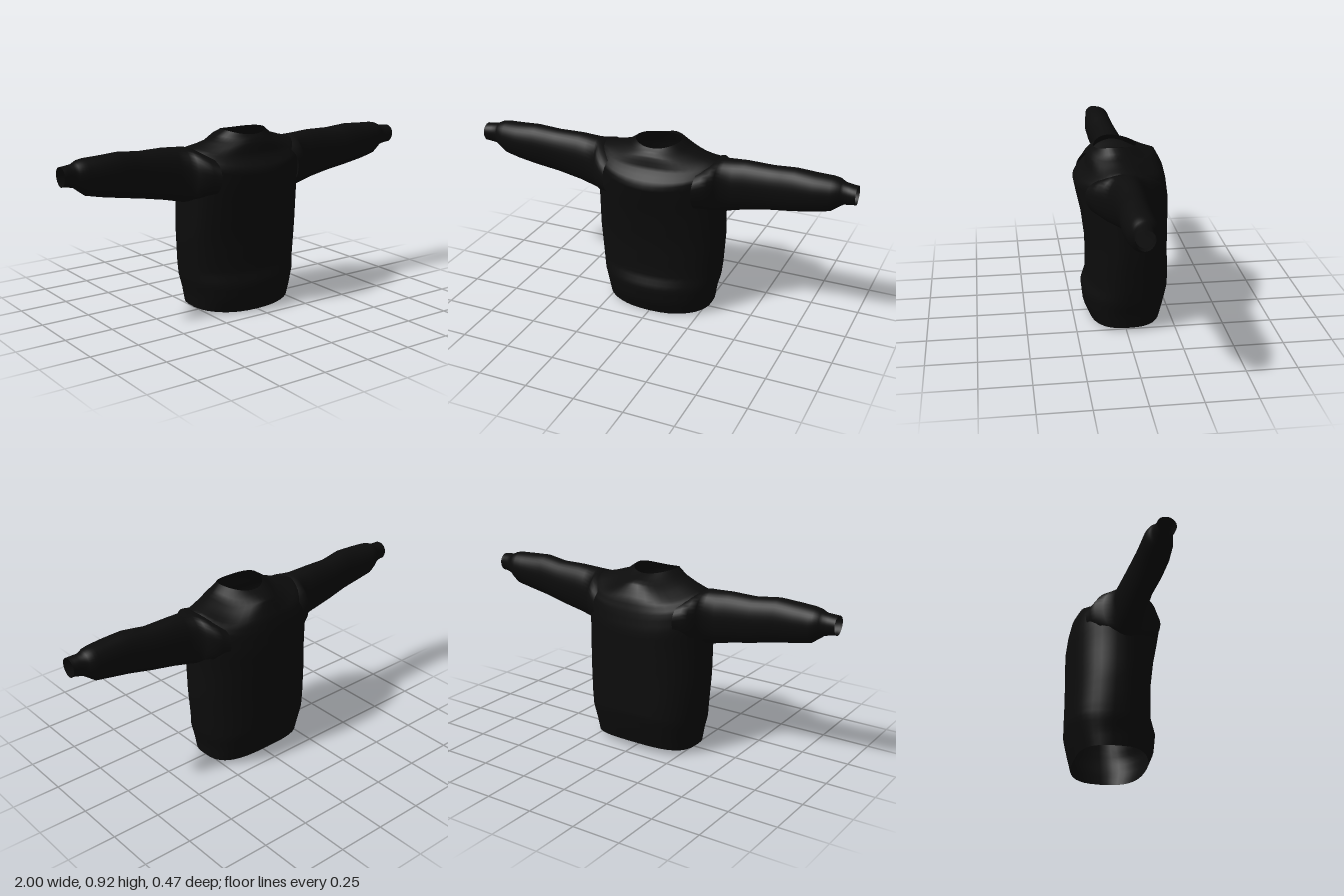
import * as THREE from 'three';

const fabric = new THREE.MeshStandardMaterial({ color: 0x0c0c0c, side: THREE.DoubleSide });
fabric.name = 'blackFabric';

const SEG = 40;

// Straight in-between rows, so each profile row becomes several rings
function subdivide(rows, n) {
  const out = [];
  for (let i = 0; i < rows.length - 1; i++)
    for (let k = 0; k < n; k++) out.push(rows[i].map((v, j) => v + (rows[i + 1][j] - v) * k / n));
  out.push(rows[rows.length - 1]);
  return out;
}

// Signed power for rounded-box cross-sections
const spow = (v, n) => Math.sign(v) * Math.pow(Math.abs(v), 2 / n);

// Open tube of cloth through a list of rings; skip() leaves holes
function loft(name, rows, pointAt, skip = () => false) {
  const pts = [], index = [];
  for (const row of rows)
    for (let j = 0; j < SEG; j++) pts.push(pointAt(row, j / SEG * Math.PI * 2));
  for (let i = 0; i < rows.length - 1; i++)
    for (let j = 0; j < SEG; j++) {
      const a = i * SEG + j, b = i * SEG + (j + 1) % SEG, c = a + SEG, d = b + SEG;
      const mid = new THREE.Vector3();
      [a, b, c, d].forEach(k => mid.addScaledVector(pts[k], 0.25));
      if (!skip(mid)) index.push(a, c, b, b, c, d);
    }
  const g = new THREE.BufferGeometry().setFromPoints(pts);
  g.setIndex(index);
  g.computeVertexNormals();
  const mesh = new THREE.Mesh(g, fabric);
  mesh.name = name;
  return mesh;
}

// Torso rows: side y, half width, front y, front z, back y, back z, centre z,
// front roundness, back roundness (2 is an ellipse, more is boxier), diagonal sag
const TORSO = [
  [0.02, 0.28, 0.00, 0.165, 0.035, -0.195, 0, 2.3, 3.0, 0],
  [0.09, 0.29, 0.07, 0.195, 0.11, -0.215, 0, 2.2, 2.9, 0],
  [0.16, 0.31, 0.15, 0.204, 0.20, -0.236, 0, 2.1, 2.7, 0],
  [0.23, 0.32, 0.22, 0.18, 0.26, -0.236, 0, 2.1, 2.6, 0],
  [0.40, 0.335, 0.40, 0.18, 0.40, -0.234, 0, 2.1, 2.4, 0],
  [0.56, 0.335, 0.56, 0.20, 0.56, -0.236, 0, 2.1, 2.3, 0],
  [0.70, 0.34, 0.66, 0.222, 0.65, -0.236, 0, 2, 2.3, 0],
  [0.80, 0.335, 0.74, 0.238, 0.74, -0.225, 0, 1.9, 2.2, 0.01],
  [0.845, 0.31, 0.80, 0.178, 0.80, -0.212, 0, 2.1, 2, 0.025],
  [0.862, 0.24, 0.86, 0.165, 0.85, -0.187, 0.01, 2, 1.9, 0.03],
  [0.885, 0.165, 0.885, 0.15, 0.88, -0.17, 0.03, 2, 1.8, 0.02],
  [0.92, 0.115, 0.90, 0.132, 0.905, -0.082, 0.045, 2, 2, 0],
];

function torsoPoint([ys, w, yf, zf, yb, zb, zc, nf, nb, sag], a) {
  const c = Math.cos(a), s = Math.sin(a);
  const [yEnd, zEnd, n] = s > 0 ? [yf, zf, nf] : [yb, zb, nb];
  const drop = sag * Math.sin(2 * a) ** 2 * (s > 0 ? 0.5 : 1);
  return new THREE.Vector3(w * spow(c, n), ys * c * c + yEnd * s * s - drop,
    zc + Math.abs(spow(s, n)) * (zEnd - zc));
}

// Sleeve opening inside the shoulder
const inArmhole = p => Math.abs(p.x) > 0.25 &&
  ((p.y - 0.77) / 0.075) ** 2 + ((p.z - 0.022) / 0.07) ** 2 < 1;

// Sleeve rows: x, top y, bottom y, front z, back z, roundness; flared at the shoulder seam
const SLEEVE = [
  [0.235, 0.815, 0.59, 0.197, -0.187, 2.3],
  [0.30, 0.845, 0.582, 0.158, -0.155, 2.3],
  [0.345, 0.855, 0.58, 0.098, -0.08, 2.1],
  [0.45, 0.862, 0.605, 0.083, -0.07, 2],
  [0.58, 0.86, 0.63, 0.078, -0.062, 2],
  [0.70, 0.872, 0.652, 0.092, -0.052, 2],
  [0.80, 0.866, 0.67, 0.094, -0.052, 2],
  [0.88, 0.862, 0.687, 0.086, -0.052, 2],
  [0.91, 0.856, 0.71, 0.078, -0.045, 2],
  [0.94, 0.842, 0.732, 0.064, -0.026, 2],
  [0.985, 0.837, 0.742, 0.07, -0.02, 2],
  [1.00, 0.836, 0.742, 0.07, -0.02, 2],
];

function sleeve(name, side) {
  return loft(name, subdivide(SLEEVE, 2), ([x, top, bottom, zf, zb, n], a) => {
    const c = side * spow(Math.cos(a), n), s = spow(Math.sin(a), n);
    const egg = 1 + 0.1 * s; // narrower towards the underside
    return new THREE.Vector3(side * x, (top + bottom) / 2 + s * (top - bottom) / 2,
      (zf + zb) / 2 + c * egg * (zf - zb) / 2);
  });
}

export function createModel() {
  const sweater = new THREE.Group();
  sweater.name = 'sweater';
  sweater.add(loft('torso', subdivide(TORSO, 3), torsoPoint, inArmhole));
  sweater.add(sleeve('leftSleeve', 1), sleeve('rightSleeve', -1));
  return sweater;
}
